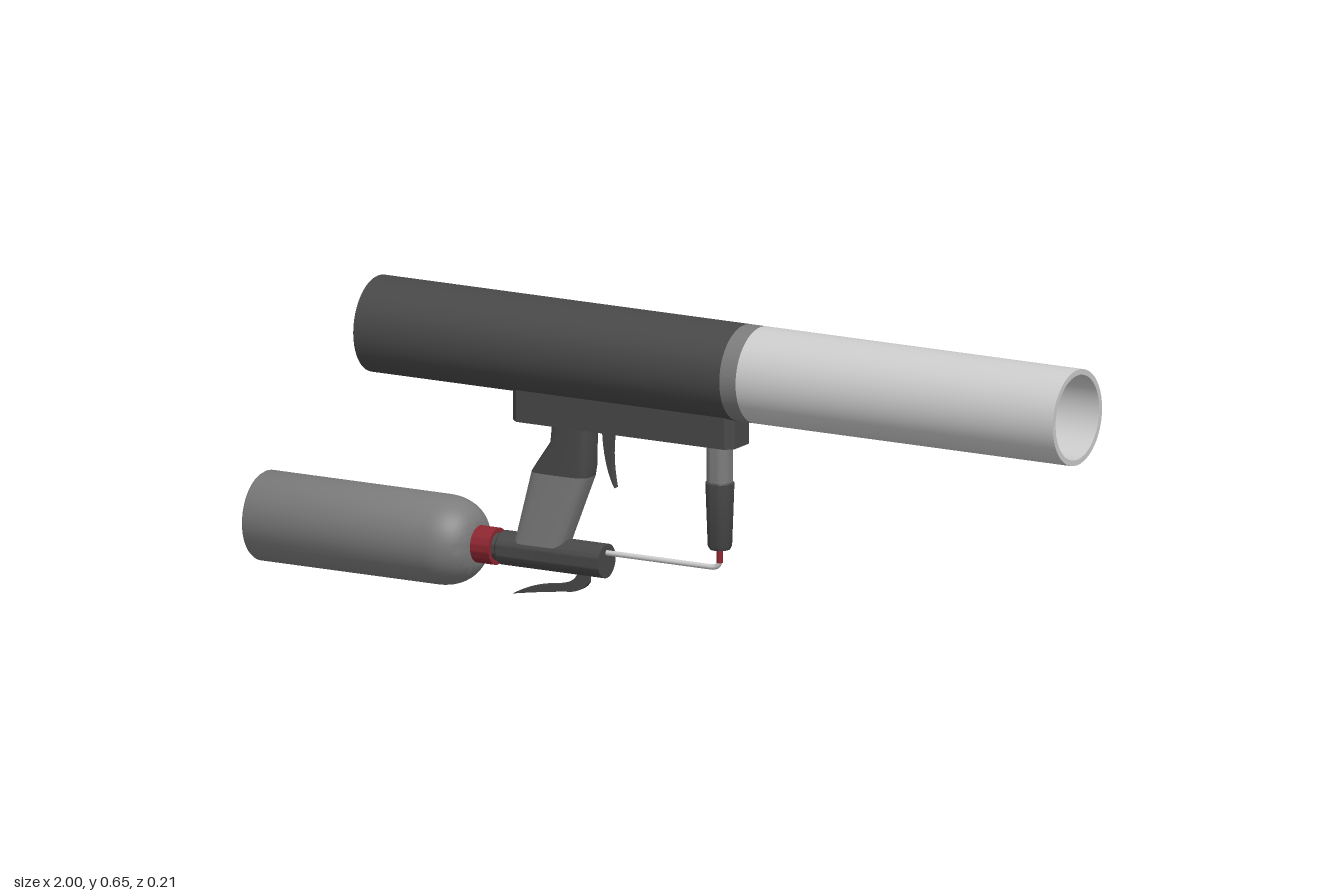
import * as THREE from 'three';
import { toCreasedNormals } from 'three/addons/utils/BufferGeometryUtils.js';

const mat = (name, color) => {
  const m = new THREE.MeshStandardMaterial({ color });
  m.name = name;
  return m;
};

export function createModel() {
  const dark = mat('charcoal', 0x484848);
  const gray = mat('mid gray', 0x7c7c7c);
  const light = mat('light gray', 0xcccccc);
  const red = mat('dark red', 0x8e2631);
  const yellow = mat('warning yellow', 0xc4a622);

  const model = new THREE.Group();
  model.name = 'launcher';
  const add = (name, geometry, material) => {
    const mesh = new THREE.Mesh(geometry, material);
    mesh.name = name;
    model.add(mesh);
    return mesh;
  };

  // Turned part: [radius, position] pairs, along x or upright
  const turned = (pts, segs = 48) =>
    toCreasedNormals(new THREE.LatheGeometry(pts.map(p => new THREE.Vector2(...p)), segs), 0.6);
  const turnedX = (name, y, pts, material) =>
    add(name, turned(pts).rotateZ(-Math.PI / 2).translate(0, y, 0), material);

  // Upright loft through rounded sections [y, xMin, xMax, halfDepth]
  const loft = sections => {
    const n = 24, pos = [], idx = [];
    const soft = v => Math.sign(v) * Math.pow(Math.abs(v), 0.5);
    for (const [y, x0, x1, hz] of sections) {
      for (let j = 0; j < n; j++) {
        const t = (j / n) * Math.PI * 2;
        pos.push((x0 + x1) / 2 + soft(Math.cos(t)) * (x1 - x0) / 2, y, soft(Math.sin(t)) * hz);
      }
    }
    const last = (sections.length - 1) * n;
    for (const s of [sections[0], sections[sections.length - 1]]) pos.push((s[1] + s[2]) / 2, s[0], 0);
    for (let j = 0; j < n; j++) {
      const k = (j + 1) % n;
      for (let r = 0; r < last; r += n) idx.push(r + j, r + n + j, r + k, r + k, r + n + j, r + n + k);
      idx.push(last + n, j, k, last + n + 1, last + k, last + j);
    }
    const g = new THREE.BufferGeometry();
    g.setAttribute('position', new THREE.Float32BufferAttribute(pos, 3));
    g.setIndex(idx);
    return toCreasedNormals(g, 0.6);
  };

  // Flat blade cut from a side outline
  const blade = (shape, depth) =>
    new THREE.ExtrudeGeometry(shape, { depth, bevelEnabled: false, curveSegments: 10 }).translate(0, 0, -depth / 2);

  // Thin marking wrapped on the back (-z) of a cylinder lying along x
  const marking = (r, cy, x0, x1, angle, halfAngle) => {
    const g = new THREE.PlaneGeometry(1, 1, 24, 8);
    const p = g.attributes.position;
    for (let i = 0; i < p.count; i++) {
      const u = 0.5 - p.getX(i);
      const a = angle + 2 * p.getY(i) * halfAngle(u);
      p.setXYZ(i, x0 + (x1 - x0) * u, cy + r * Math.sin(a), -r * Math.cos(a));
    }
    g.computeVertexNormals();
    return g;
  };

  // Main tube
  const R = 0.104, tubeY = 0.552;
  turnedX('rearTube', tubeY, [[0, -0.72], [R, -0.72], [R, 0.18]], dark);
  turnedX('tubeBand', tubeY, [[R, 0.18], [R, 0.22]], gray);
  turnedX('barrel', tubeY, [[R, 0.22], [R, 1], [0.092, 1], [0.092, 0.22]], light);
  turnedX('barrelBack', tubeY, [[0.093, 0.22], [0, 0.22]], dark);
  add('sideMarking', marking(R + 0.002, tubeY, -0.17, 0.075, 0.1,
    u => 0.25 * Math.min(1, 0.45 + 5 * Math.min(u, 1 - u))), gray);

  // Mounting rail with clipped corners
  const rail = new THREE.Shape();
  [[-0.37, -0.03], [-0.353, -0.047], [0.158, -0.047], [0.175, -0.03],
    [0.175, 0.03], [0.158, 0.047], [-0.353, 0.047], [-0.37, 0.03]]
    .forEach(([x, y], i) => (i ? rail.lineTo(x, y) : rail.moveTo(x, y)));
  add('mountingRail', new THREE.ExtrudeGeometry(rail, { depth: 0.08, bevelEnabled: false })
    .rotateX(-Math.PI / 2).translate(0, 0.39, 0), dark);

  // Pistol grip
  add('gripLower', loft([[0.12, -0.375, -0.255, 0.034], [0.135, -0.37, -0.25, 0.034],
    [0.28, -0.333, -0.193, 0.034]]), gray);
  add('gripUpper', loft([[0.28, -0.333, -0.193, 0.034], [0.3, -0.32, -0.19, 0.034],
    [0.35, -0.285, -0.19, 0.034], [0.4, -0.28, -0.19, 0.034]]), dark);

  // Trigger
  const trigger = new THREE.Shape();
  trigger.moveTo(-0.165, 0.4);
  trigger.quadraticCurveTo(-0.162, 0.31, -0.134, 0.263);
  trigger.quadraticCurveTo(-0.15, 0.34, -0.135, 0.4);
  add('trigger', blade(trigger, 0.016), dark);

  // Front grip
  add('frontGripUpper', turned([[0.028, 0.305], [0.028, 0.4]], 24).translate(0.121, 0, 0), gray);
  add('frontGripLower', turned([[0, 0.16], [0.022, 0.16], [0.026, 0.168], [0.031, 0.305], [0.028, 0.308]], 24)
    .translate(0.121, 0, 0), dark);

  // Gas bottle with rounded shoulder
  const bottle = [[0, -1], [0.093, -1], [0.097, -0.994]];
  for (let i = 0; i <= 10; i++) {
    const a = (i / 10) * Math.PI / 2;
    bottle.push([0.037 + 0.06 * Math.cos(a), -0.555 + 0.085 * Math.sin(a)]);
  }
  turnedX('gasBottle', 0.1, [...bottle, [0, -0.47]], gray);
  add('warningTriangle', marking(0.099, 0.1, -0.66, -0.57, 0.42, u => 0.45 * (1 - u)), yellow);

  // Collar and valve body
  turnedX('bottleCollar', 0.1, [[0.04, -0.495], [0.04, -0.425], [0, -0.425]], red);
  turnedX('valveNeck', 0.1, [[0.03, -0.43], [0.03, -0.405]], dark);
  turnedX('valveBody', 0.1, [[0, -0.415], [0.033, -0.415], [0.037, -0.41], [0.037, -0.157], [0, -0.157]], dark);

  // Release lever below the valve
  const lever = new THREE.Shape();
  lever.moveTo(-0.385, 0.003);
  lever.quadraticCurveTo(-0.3, 0.018, -0.24, 0.024);
  lever.quadraticCurveTo(-0.21, 0.03, -0.2, 0.048);
  lever.lineTo(-0.2, 0.07);
  lever.lineTo(-0.225, 0.07);
  lever.quadraticCurveTo(-0.23, 0.043, -0.28, 0.036);
  lever.quadraticCurveTo(-0.34, 0.03, -0.385, 0.003);
  add('releaseLever', blade(lever, 0.012), dark);

  // Gas line with upward bend and red fitting
  const line = new THREE.CurvePath();
  const v = (x, y) => new THREE.Vector3(x, y, 0);
  line.add(new THREE.LineCurve3(v(-0.17, 0.118), v(0.1, 0.118)));
  line.add(new THREE.QuadraticBezierCurve3(v(0.1, 0.118), v(0.121, 0.118), v(0.121, 0.138)));
  add('gasLine', new THREE.TubeGeometry(line, 60, 0.006, 12), light);
  add('lineFitting', new THREE.CylinderGeometry(0.007, 0.007, 0.036, 16).translate(0.121, 0.148, 0), red);

  return model;
}
